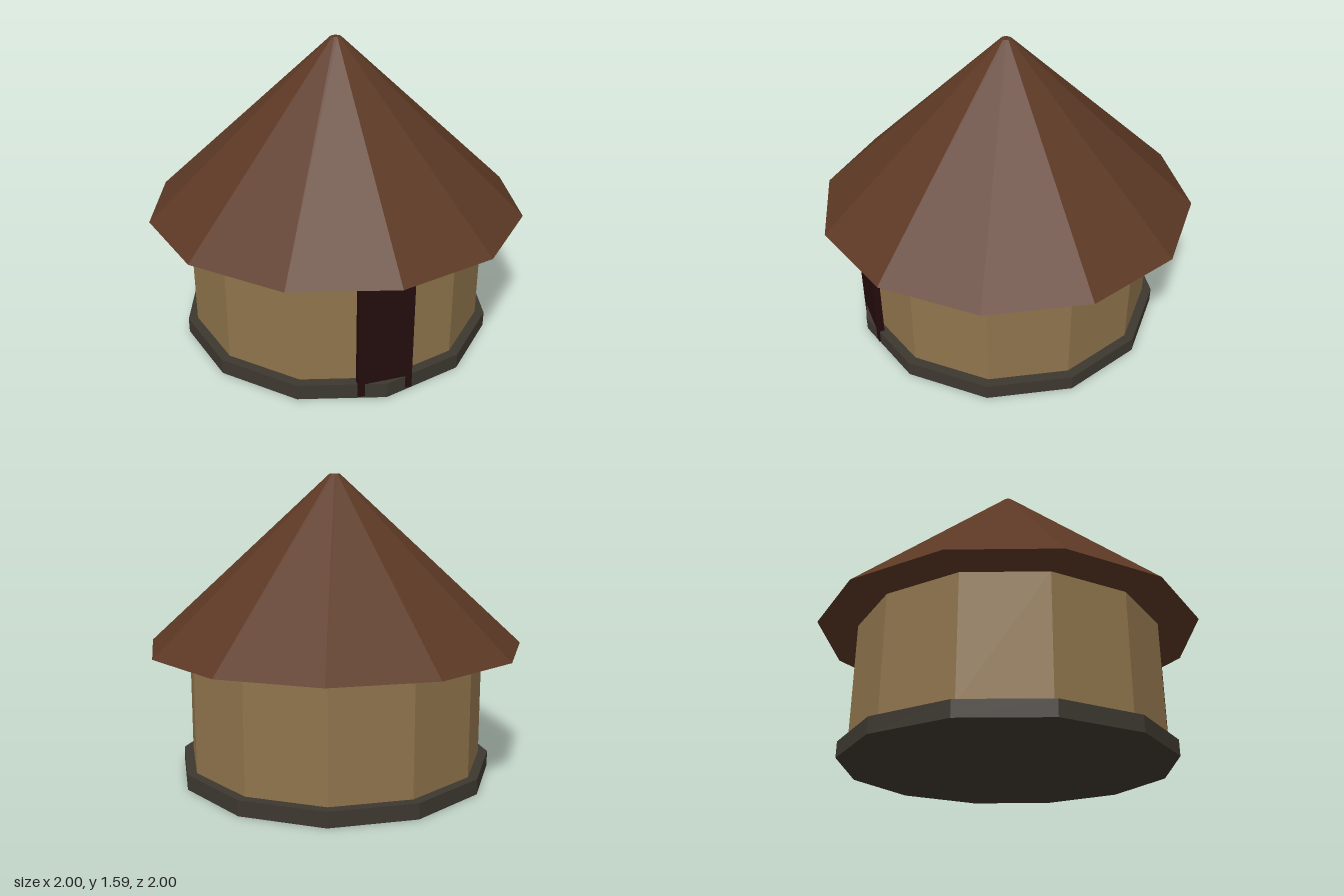
import * as THREE from 'three';

const SIDES = 12;

function material(name, color) {
  const m = new THREE.MeshStandardMaterial({ color, flatShading: true });
  m.name = name;
  return m;
}

export function createModel() {
  const hut = new THREE.Group();
  hut.name = 'roundHut';

  const stone = material('darkStone', 0x3d3830);
  const clay = material('clay', 0x8f744c);
  const thatch = material('brownThatch', 0x5c3824);
  const wood = material('darkWood', 0x240c0c);

  const add = (name, geometry, mat, y, z = 0) => {
    const mesh = new THREE.Mesh(geometry, mat);
    mesh.name = name;
    mesh.position.set(0, y, z);
    hut.add(mesh);
  };

  // Twelve-sided drum or cone standing between two heights
  const drum = (name, topRadius, bottomRadius, y0, y1, mat) =>
    add(name, new THREE.CylinderGeometry(topRadius, bottomRadius, y1 - y0, SIDES), mat, (y0 + y1) / 2);

  drum('foundation', 0.845, 0.845, 0, 0.08, stone);
  drum('wall', 0.795, 0.795, 0.08, 0.695, clay);
  drum('roof', 0.027, 1, 0.695, 1.59, thatch);

  // Door slab set into the front corner of the wall; the foundation edge forms its sill
  add('door', new THREE.BoxGeometry(0.278, 0.605, 0.036), wood, 0.3125, 0.799);

  return hut;
}
